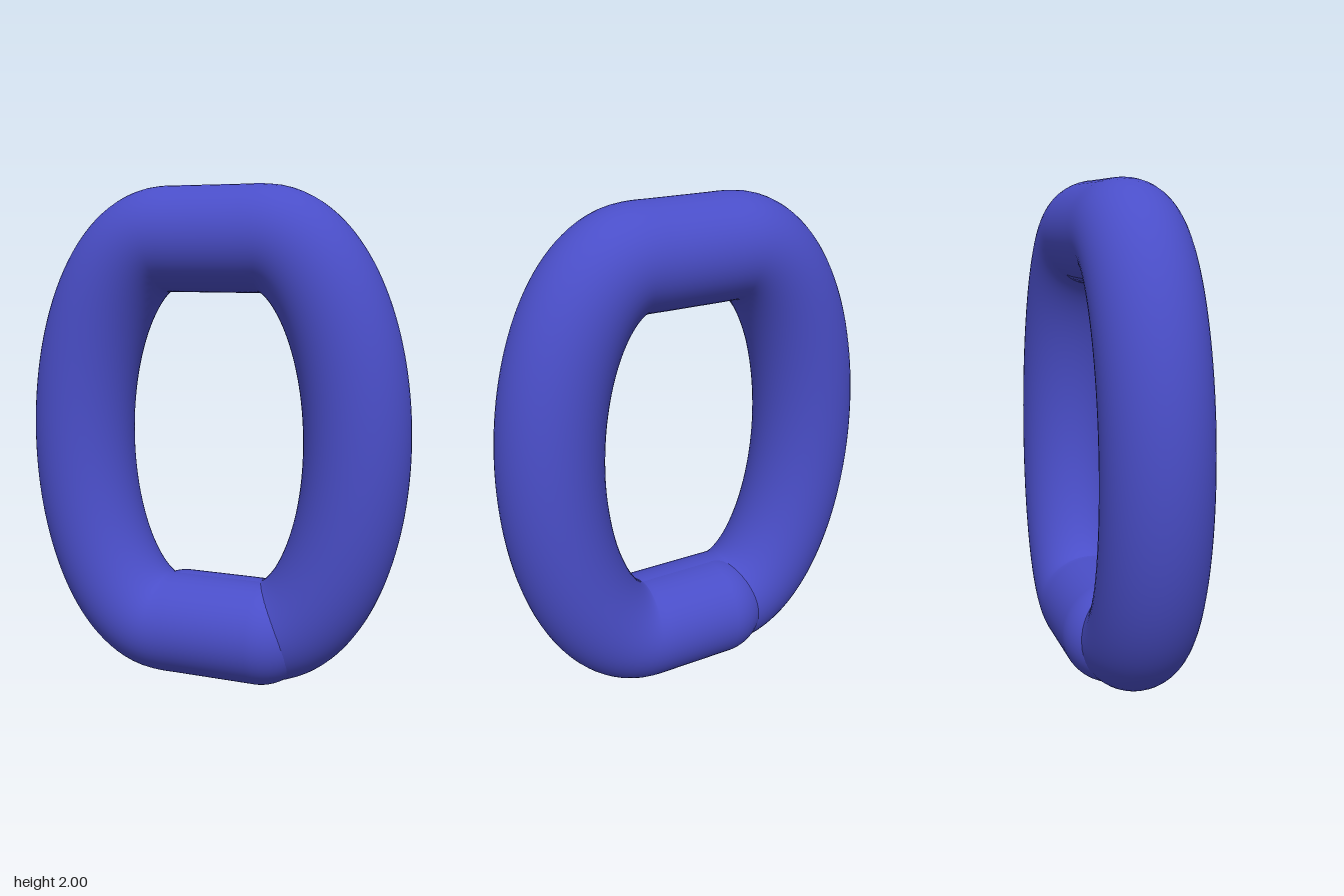
import * as THREE from 'three';

const RADIUS = 0.208;
const BAR = 0.2;        // half length of the straight top and bottom bars
const HALF_W = 0.585;   // centreline half width
const HALF_H = 0.791;   // centreline half height
const DRIFT = 0.023;    // sideways offset of the overlapping ends

// Centreline of the link: an open loop whose two ends pass each other at the bottom
function linkPath(endLeft, endRight) {
  const points = [];
  const add = (x, y, side) => {
    const z = side * DRIFT * (1 - y) / 2;
    points.push(new THREE.Vector3(x, 1 + y * HALF_H, z));
  };
  const steps = 28;
  for (let i = 0; i < 6; i++) add(THREE.MathUtils.lerp(endRight, -BAR, i / 6), -1, 1);
  for (let i = 0; i <= steps; i++) {
    const a = -Math.PI / 2 + Math.PI * i / steps;
    add(-BAR - (HALF_W - BAR) * Math.cos(a), Math.sin(a), 1);
  }
  for (let i = 1; i < 5; i++) add(THREE.MathUtils.lerp(-BAR, BAR, i / 5), 1, 0);
  for (let i = 0; i <= steps; i++) {
    const a = Math.PI / 2 - Math.PI * i / steps;
    add(BAR + (HALF_W - BAR) * Math.cos(a), Math.sin(a), -1);
  }
  for (let i = 1; i <= 6; i++) add(THREE.MathUtils.lerp(BAR, endLeft, i / 6), -1, -1);
  return new THREE.CatmullRomCurve3(points, false, 'centripetal');
}

export function createModel() {
  const group = new THREE.Group();
  group.name = 'roundedLink';
  const blue = new THREE.MeshStandardMaterial({ color: 0x4a4ec8 });
  blue.name = 'blue';

  // Swept round bar
  const path = linkPath(-0.14, 0.21);
  const bar = new THREE.Mesh(new THREE.TubeGeometry(path, 220, RADIUS, 48, false), blue);
  bar.name = 'linkBar';
  group.add(bar);

  // Rounded ends of the bar, overlapping at the bottom
  [['frontEnd', 0], ['backEnd', 1]].forEach(([name, t]) => {
    const cap = new THREE.Mesh(new THREE.SphereGeometry(RADIUS, 48, 32), blue);
    cap.name = name;
    cap.position.copy(path.getPoint(t));
    group.add(cap);
  });
  return group;
}
